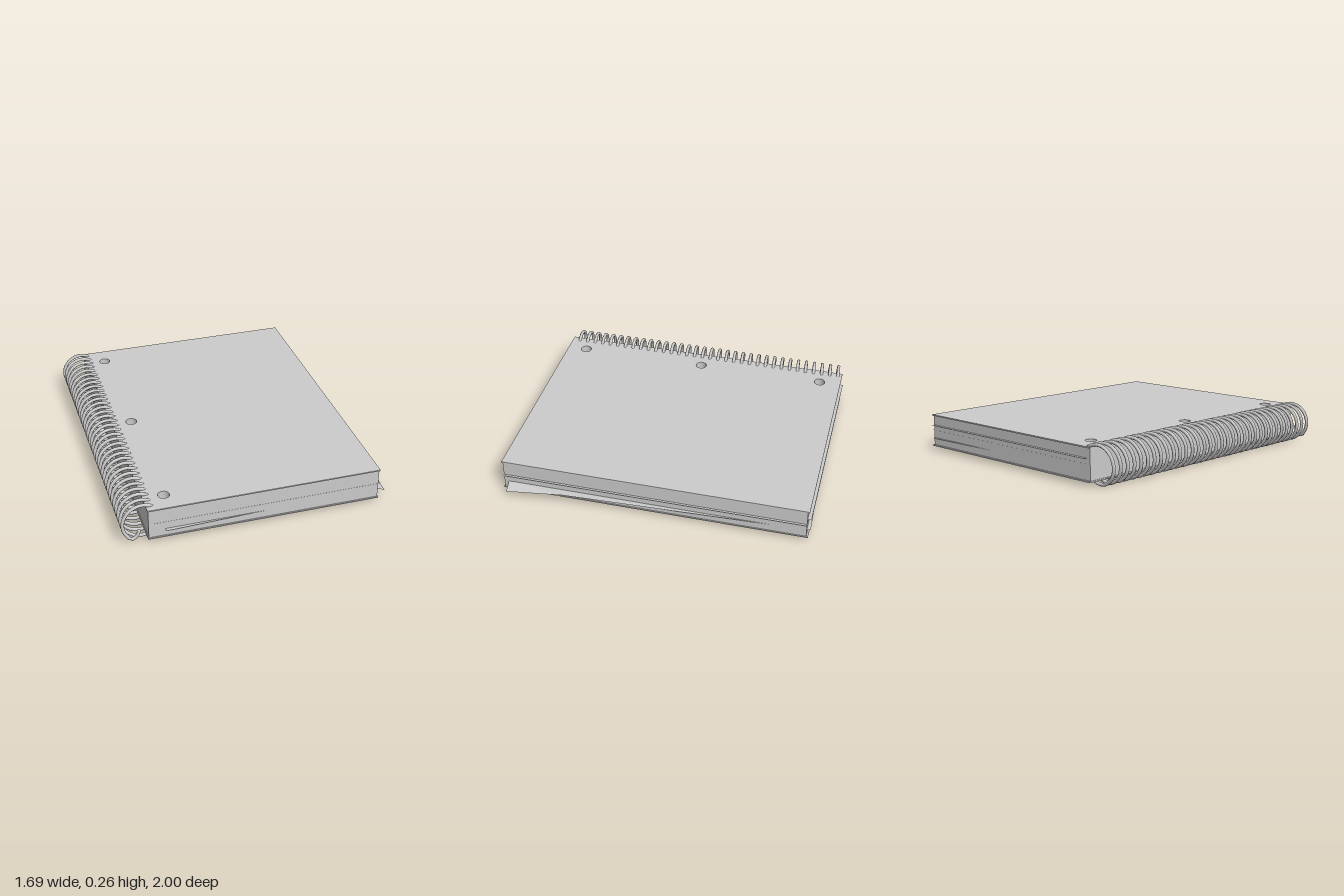
import * as THREE from 'three';

const HOLES_Z = [-0.845, -0.005, 0.845];

// Outline in (x, z) with the three binder holes
function outline(points, punched = true) {
  const shape = new THREE.Shape(points.map(([x, z]) => new THREE.Vector2(x, z)));
  if (punched) for (const z of HOLES_Z) {
    shape.holes.push(new THREE.Path().absarc(-0.56, z, 0.036, 0, Math.PI * 2, true));
  }
  return shape;
}
const rect = (x0, x1, z0, z1) => [[x0, z0], [x1, z0], [x1, z1], [x0, z1]];

export function createModel() {
  const group = new THREE.Group();
  const solid = new THREE.MeshStandardMaterial({ color: 0xcccccc });
  const thin = new THREE.MeshStandardMaterial({ color: 0xcccccc, side: THREE.DoubleSide });

  const add = (name, geometry, material) => {
    const mesh = new THREE.Mesh(geometry, material);
    mesh.name = name;
    group.add(mesh);
  };
  const slab = (name, points, bottom, top) => {
    const g = new THREE.ExtrudeGeometry(outline(points), {
      depth: top - bottom, bevelEnabled: false, curveSegments: 24,
    });
    add(name, g.rotateX(Math.PI / 2).translate(0, top, 0), solid);
  };
  const sheet = (name, points, y, punched) => {
    const g = new THREE.ShapeGeometry(outline(points, punched), 24);
    add(name, g.rotateX(Math.PI / 2).translate(0, y, 0), thin);
  };

  // Covers and page block
  const cover = rect(-0.692, 0.785, -0.988, 0.977);
  slab('backCover', cover, 0.03, 0.038);
  slab('pages', rect(-0.687, 0.78, -0.977, 0.97), 0.038, 0.232);
  slab('frontCover', cover, 0.232, 0.24);

  // Loose sheets pushed slightly out of the block
  sheet('upperLooseSheet', rect(-0.66, 0.775, -1.0, 0.96), 0.17);
  sheet('middleLooseSheet', rect(-0.66, 0.795, -0.978, 0.971), 0.135);

  // Turned sheet, cut clear of the binder holes inside the block
  sheet('turnedSheet', [
    [-0.585, 0.995], [-0.585, 0.92], [-0.5, 0.92], [-0.5, -0.95],
    [0.771, -1.0], [0.831, 0.57], [0.775, 0.943],
  ], 0.085, false);

  // Its drooping corner
  const corner = new THREE.BufferGeometry();
  corner.setAttribute('position', new THREE.Float32BufferAttribute([
    0.775, 0.085, 0.943, 0.845, 0.05, 0.94, 0.831, 0.085, 0.57,
  ], 3));
  corner.computeVertexNormals();
  add('turnedSheetCorner', corner, thin);

  // Spiral wire with its front end bent inward
  const radius = 0.119, pitch = 0.0571, perTurn = 20;
  const start = Math.PI * 1.3, turns = 33.5;
  const path = [new THREE.Vector3(-0.742, 0.092, 0.957), new THREE.Vector3(-0.758, 0.055, 0.956)];
  for (let i = 0; i <= turns * perTurn; i++) {
    const a = start - (i / perTurn) * Math.PI * 2;
    const z = 0.93 + ((a - Math.PI / 2) / (Math.PI * 2)) * pitch;
    path.push(new THREE.Vector3(-0.72 + radius * Math.cos(a), 0.135 + radius * Math.sin(a), z));
  }
  const curve = new THREE.CatmullRomCurve3(path);
  curve.arcLengthDivisions = 2000;
  add('spiralWire', new THREE.TubeGeometry(curve, 1100, 0.011, 8, false), solid);

  // Rounded wire ends
  [path[0], path[path.length - 1]].forEach((p) => {
    add('wireEnd', new THREE.SphereGeometry(0.011, 8, 6).translate(p.x, p.y, p.z), solid);
  });

  return group;
}
